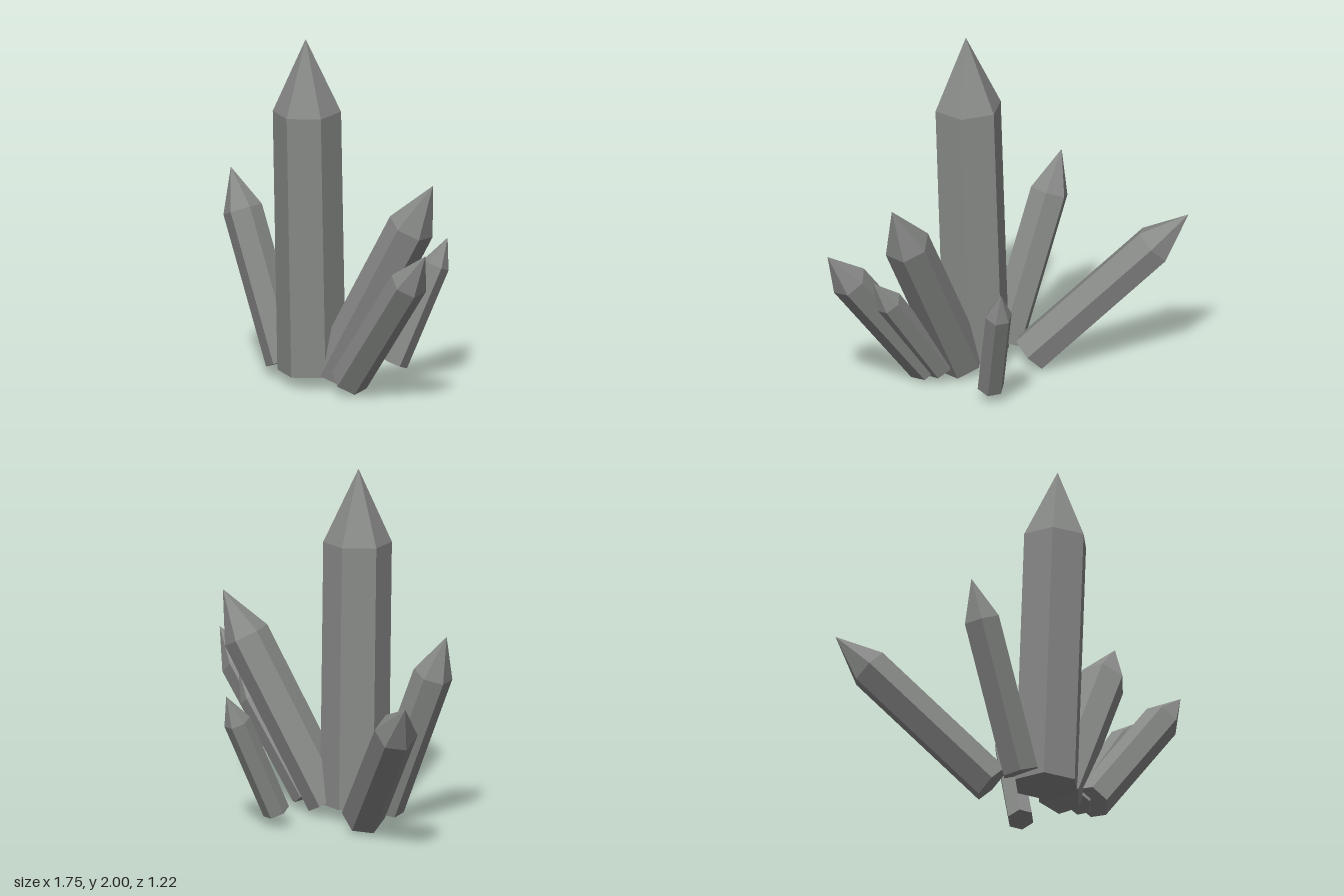
import * as THREE from 'three';

// One crystal shape of unit length: six-sided shaft with a pointed tip
function crystalGeometry() {
  const profile = [[0, 0], [0.1, 0], [0.1, 0.782], [0, 1]].map(([r, y]) => new THREE.Vector2(r, y));
  return new THREE.LatheGeometry(profile, 6);
}

// Each crystal runs from the centre of its base to the point of its tip
const CRYSTALS = [
  { name: 'mainCrystal', base: [-0.1, 0.077, 0.29], tip: [-0.09, 2.0, 0.36] },
  { name: 'largeLeftCrystal', base: [0.046, 0.08, 0.275], tip: [0.69, 1.24, 0.22] },
  { name: 'frontLeftCrystal', base: [0.225, 0.082, 0.377], tip: [0.872, 0.925, 0.54] },
  { name: 'smallLeftCrystal', base: [0.2, 0.085, 0.3], tip: [0.67, 0.74, 0.375] },
  { name: 'rightCrystal', base: [-0.305, 0.09, 0.258], tip: [-0.722, 1.14, 0.205] },
  { name: 'backRightCrystal', base: [-0.28, 0.088, 0.045], tip: [-0.875, 0.935, -0.61] },
  { name: 'smallBackCrystal', base: [0.2, 0.085, -0.085], tip: [0.39, 0.787, -0.33] },
];

export function createModel() {
  const group = new THREE.Group();
  group.name = 'crystalCluster';
  const stone = new THREE.MeshStandardMaterial({ color: 0x888a88, flatShading: true });
  stone.name = 'grey crystal';
  const geometry = crystalGeometry();
  const up = new THREE.Vector3(0, 1, 0);

  for (const { name, base, tip } of CRYSTALS) {
    const start = new THREE.Vector3(...base);
    const axis = new THREE.Vector3(...tip).sub(start);
    const length = axis.length();
    const crystal = new THREE.Mesh(geometry, stone);
    crystal.name = name;
    crystal.position.copy(start);
    crystal.quaternion.setFromUnitVectors(up, axis.normalize());
    crystal.scale.setScalar(length);
    group.add(crystal);
  }
  return group;
}
